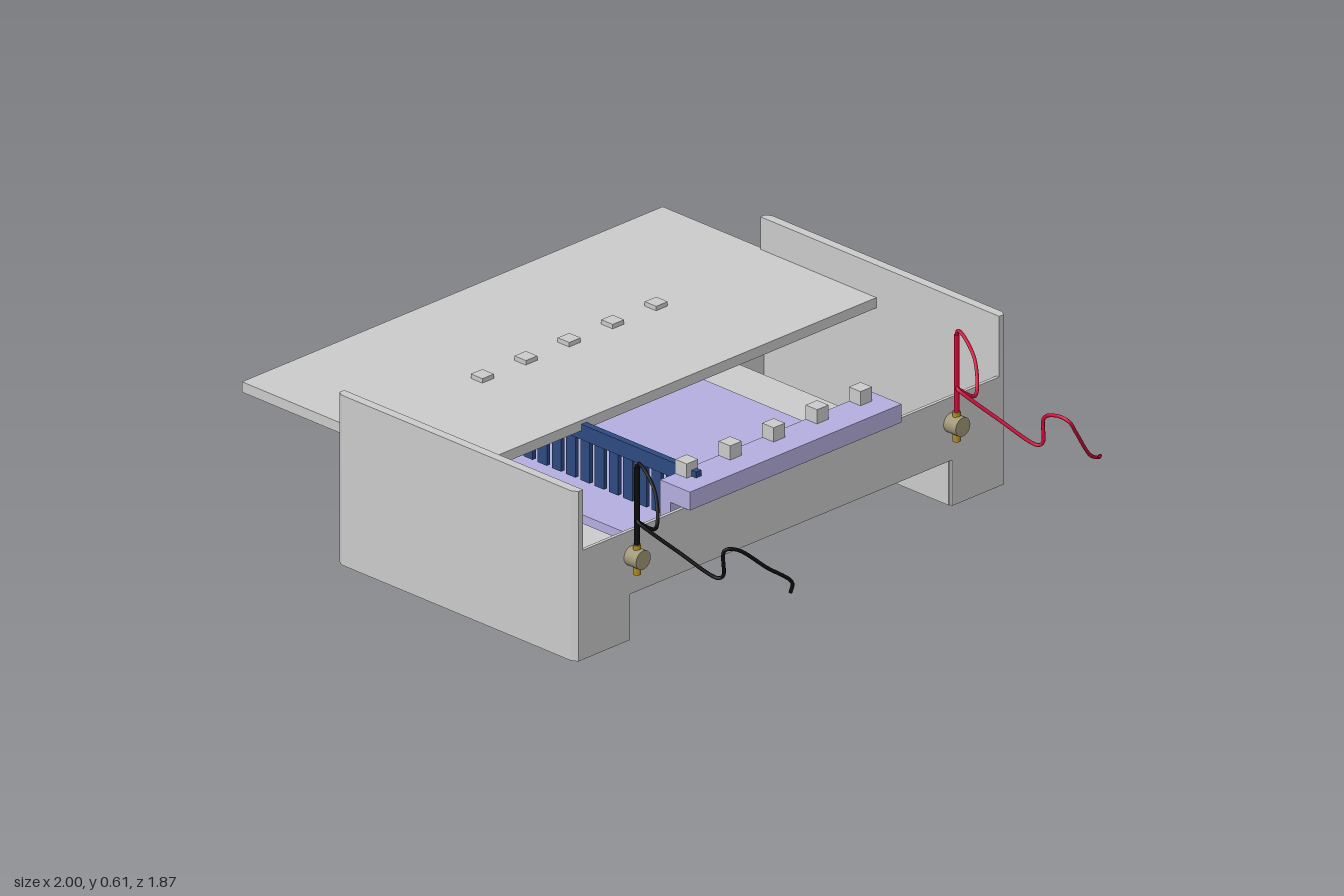
import * as THREE from 'three';

const mat = (color) => new THREE.MeshStandardMaterial({ color, side: THREE.DoubleSide });
const grey = mat(0xcccccc), lilac = mat(0xb5afe0), red = mat(0xcc0a38), black = mat(0x0c0c0c);
const blue = mat(0x2d4a80), gold = mat(0xb08a20), brass = mat(0xa09878);

export function createModel() {
  const root = new THREE.Group();
  root.name = 'gelTank';

  const add = (parent, name, geometry, material) => {
    const mesh = new THREE.Mesh(geometry, material);
    mesh.name = name;
    parent.add(mesh);
    return mesh;
  };
  // Box given by its lower and upper limits on each axis
  const box = (parent, name, [x0, x1], [y0, y1], [z0, z1], material = grey) => {
    const mesh = add(parent, name, new THREE.BoxGeometry(x1 - x0, y1 - y0, Math.abs(z1 - z0)), material);
    mesh.position.set((x0 + x1) / 2, (y0 + y1) / 2, (z0 + z1) / 2);
    return mesh;
  };
  const group = (name) => {
    const g = new THREE.Group();
    g.name = name;
    root.add(g);
    return g;
  };

  // Tank: two long side plates stepping down into a well at each end
  const tank = group('tank');
  const profile = new THREE.Shape([
    [-0.925, 0], [-0.7, 0], [-0.7, 0.155], [0.7, 0.155],
    [0.7, 0], [0.925, 0], [0.925, 0.37], [-0.925, 0.37],
  ].map(([z, y]) => new THREE.Vector2(z, y)));
  for (const x of [-0.56, 0.463]) {
    const plate = add(tank, 'sidePlate', new THREE.ExtrudeGeometry(profile, { depth: 0.012, bevelEnabled: false }), grey);
    plate.rotation.y = Math.PI / 2;
    plate.position.x = x;
  }
  box(tank, 'platform', [-0.55, 0.465], [0.155, 0.172], [-0.71, 0.71]);

  // End walls with chamfered vertical edges
  const wall = new THREE.Shape([
    [-0.565, 0.905], [0.475, 0.905], [0.475, 0.925], [0.455, 0.937], [-0.545, 0.937], [-0.565, 0.925],
  ].map(([x, z]) => new THREE.Vector2(x, z)));
  for (const s of [-1, 1]) {
    const endWall = add(tank, 'endWall', new THREE.ExtrudeGeometry(wall, { depth: 0.575, bevelEnabled: false }), grey);
    endWall.rotation.set(-Math.PI / 2, 0, s > 0 ? Math.PI : 0);
    if (s > 0) endWall.position.x = -0.09;
    box(tank, 'wellInnerWall', [-0.55, 0.465], [0, 0.172], [s * 0.695, s * 0.71]);
    box(tank, 'wellFloor', [-0.55, 0.465], [0.003, 0.012], [s * 0.7, s * 0.92]);
    box(tank, 'wellStrip', [-0.46, 0.464], [0, 0.016], [s * 0.75, s * 0.89], s > 0 ? black : red);
  }

  // Sliding lid
  box(root, 'lid', [-1, -0.06], [0.43, 0.465], [-0.915, 0.915]);

  // Gel tray: floor, two inner walls, two flanges with locating blocks
  const tray = group('gelTray');
  box(tray, 'trayFloor', [-0.51, 0.415], [0.19, 0.22], [-0.48, 0.49], lilac);
  for (const s of [-1, 1]) {
    const range = (a, b) => [-0.05 + s * a, -0.05 + s * b].sort((p, q) => p - q);
    box(tray, 'trayWall', range(0.42, 0.465), [0.21, 0.38], [-0.455, 0.465], lilac);
    box(tray, 'trayFlange', range(0.42, 0.55), [0.37, 0.432], [-0.455, 0.465], lilac);
    for (let i = 0; i < 5; i++) {
      const z = -0.382 + i * 0.189;
      box(tray, 'combBlock', range(0.42, 0.47), [0.43, 0.48], [z - 0.025, z + 0.025]);
    }
  }

  // Comb resting across the tray
  const comb = group('comb');
  box(comb, 'combBar', [-0.52, 0.44], [0.4, 0.452], [0.355, 0.378], blue);
  for (let i = 0; i < 13; i++) {
    const x = -0.42 + i * 0.062;
    box(comb, 'combTooth', [x - 0.02, x + 0.02], [0.26, 0.41], [0.36, 0.374], blue);
  }

  // Spare comb hanging beneath the platform
  const spare = group('spareComb');
  box(spare, 'spareCombBar', [-0.53, 0.36], [0.09, 0.156], [0.388, 0.423]);
  box(spare, 'spareCombPlate', [-0.46, 0.29], [0.085, 0.156], [0.378, 0.388]);
  for (let i = 0; i < 10; i++) {
    const x = -0.422 + i * 0.075;
    box(spare, 'spareCombTooth', [x - 0.026, x + 0.026], [0.03, 0.09], [0.378, 0.386]);
  }

  // Terminals and leads
  const lead = (s, material, tail) => {
    const g = group(s > 0 ? 'blackTerminal' : 'redTerminal');
    const z = s * 0.695;
    const knob = add(g, 'knob', new THREE.SphereGeometry(0.04, 20, 10, 0, Math.PI * 2, 0, Math.PI / 2), brass);
    knob.rotation.z = Math.PI / 2;
    knob.scale.y = 1.2;
    knob.position.set(0.463, 0.285, z);
    const socket = add(g, 'socket', new THREE.CylinderGeometry(0.032, 0.032, 0.055, 20), brass);
    socket.rotation.z = Math.PI / 2;
    socket.position.set(0.5, 0.285, z);
    const pin = add(g, 'pin', new THREE.CylinderGeometry(0.013, 0.013, 0.1, 14), gold);
    pin.position.set(0.5, 0.28, z);
    const sleeve = add(g, 'sleeve', new THREE.CylinderGeometry(0.009, 0.009, 0.26, 10), material);
    sleeve.position.set(0.5, 0.46, z);
    // Offsets in z are the same for both leads until they part
    const points = [
      [0.5, 0.57, 0], [0.505, 0.605, 0], [0.535, 0.598, 0.005], [0.6, 0.54, 0.02], [0.66, 0.46, 0.08],
      [0.65, 0.505, 0.15], [0.76, 0.41, 0.075], [0.86, 0.335, 0.008], [0.875, 0.345, 0], [0.878, 0.43, -0.003],
    ].map(([x, y, dz]) => new THREE.Vector3(x, y, z + dz));
    points.push(...tail.map((p) => new THREE.Vector3(...p)));
    const path = new THREE.CatmullRomCurve3(points, false, 'centripetal');
    add(g, 'lead', new THREE.TubeGeometry(path, 140, 0.006, 8), material);
  };
  lead(1, black, [[0.9, 0.43, 0.66], [0.95, 0.36, 0.58], [0.99, 0.3, 0.51], [0.985, 0.265, 0.512]]);
  lead(-1, red, [[0.93, 0.45, -0.705], [0.97, 0.44, -0.715], [0.972, 0.4, -0.74],
    [0.955, 0.29, -0.82], [0.94, 0.26, -0.87], [0.975, 0.285, -0.845]]);

  return root;
}
